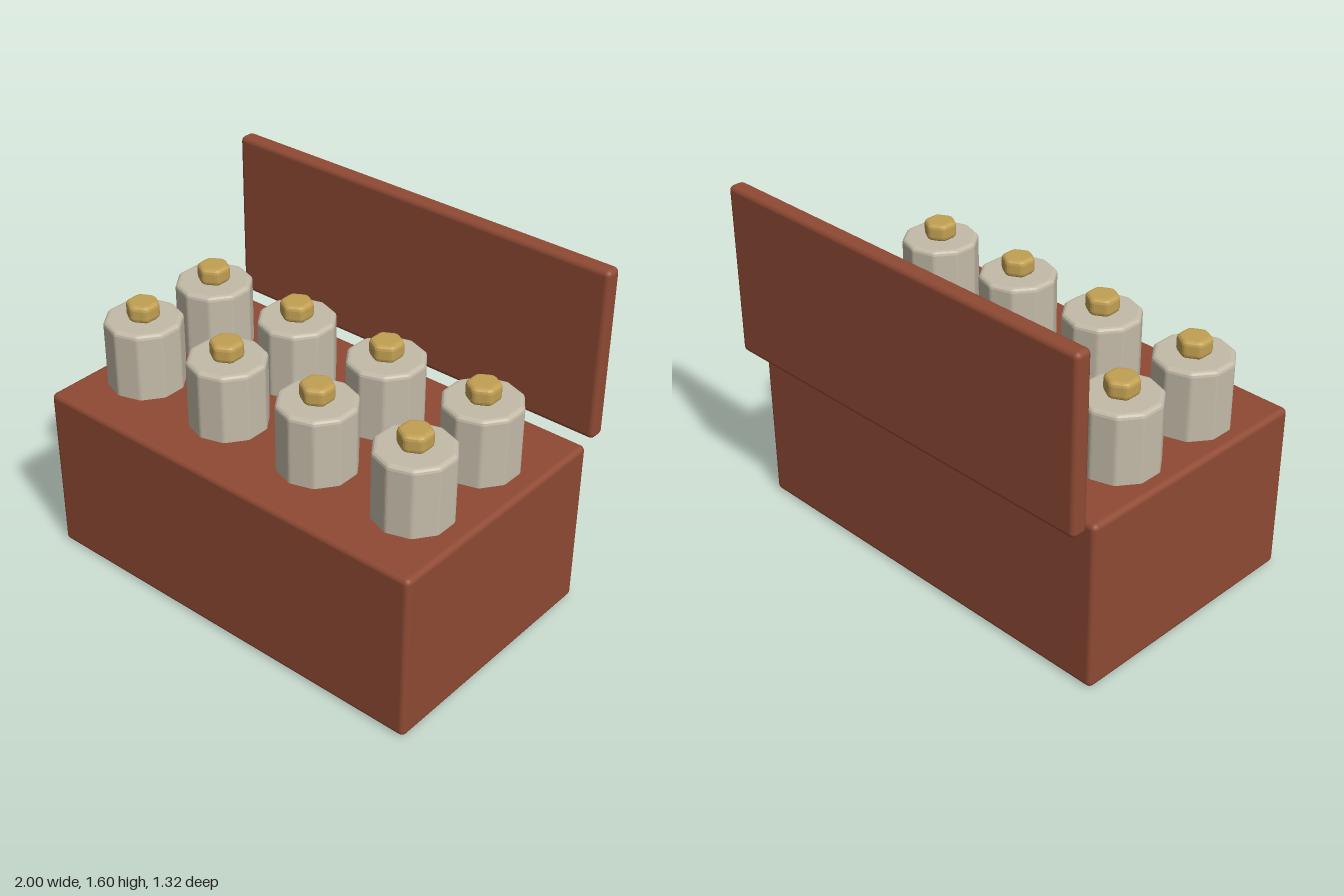
import * as THREE from 'three';
import { RoundedBoxGeometry } from 'three/addons/geometries/RoundedBoxGeometry.js';

const mat = (name, color) => {
  const m = new THREE.MeshStandardMaterial({ color });
  m.name = name;
  return m;
};

// Upright prism with n sides, softened corners and bevelled rims, standing on y = 0
function softPrism(n, apothem, height, corner, bevel) {
  const half = Math.PI / n;
  const reach = (apothem - corner) / Math.cos(half);
  const points = [];
  for (let k = 0; k < n; k++) {
    const mid = Math.PI / 2 + k * 2 * half;
    for (let j = -1; j <= 1; j += 2 / 3) {
      const a = mid + j * half;
      points.push(new THREE.Vector2(
        reach * Math.cos(mid) + corner * Math.cos(a),
        reach * Math.sin(mid) + corner * Math.sin(a)));
    }
  }
  const geo = new THREE.ExtrudeGeometry(new THREE.Shape(points), {
    depth: height - 2 * bevel, bevelEnabled: true, bevelThickness: bevel,
    bevelSize: bevel, bevelOffset: -bevel, bevelSegments: 3,
  });
  return geo.translate(0, 0, bevel).rotateX(-Math.PI / 2);
}

export function createModel() {
  const model = new THREE.Group();
  model.name = 'bottleCase';
  const leather = mat('brown', 0x8f4a34);
  const glass = mat('paleGrey', 0xc4bba8);
  const brass = mat('brass', 0xc2a053);

  const add = (name, geo, material, x, y, z, parent = model) => {
    const mesh = new THREE.Mesh(geo, material);
    mesh.name = name;
    mesh.position.set(x, y, z);
    parent.add(mesh);
  };

  // Case and raised lid
  add('case', new RoundedBoxGeometry(2, 0.8, 1.2, 3, 0.025), leather, 0, 0.4, 0.06);
  add('lid', new RoundedBoxGeometry(2, 0.8, 0.08, 3, 0.025), leather, 0, 1.2, -0.62);

  // Two rows of four stoppered bottles
  const bodyGeo = softPrism(10, 0.1685, 0.42, 0.03, 0.02);
  const stopperGeo = softPrism(6, 0.068, 0.08, 0.03, 0.02);
  for (const z of [-0.14, 0.3]) {
    for (let i = 0; i < 4; i++) {
      const bottle = new THREE.Group();
      bottle.name = 'bottle';
      bottle.position.set(-0.763 + i * 0.5, 0.7, z);
      add('bottleBody', bodyGeo, glass, 0, 0, 0, bottle);
      add('stopper', stopperGeo, brass, 0, 0.42, 0, bottle);
      model.add(bottle);
    }
  }
  return model;
}
